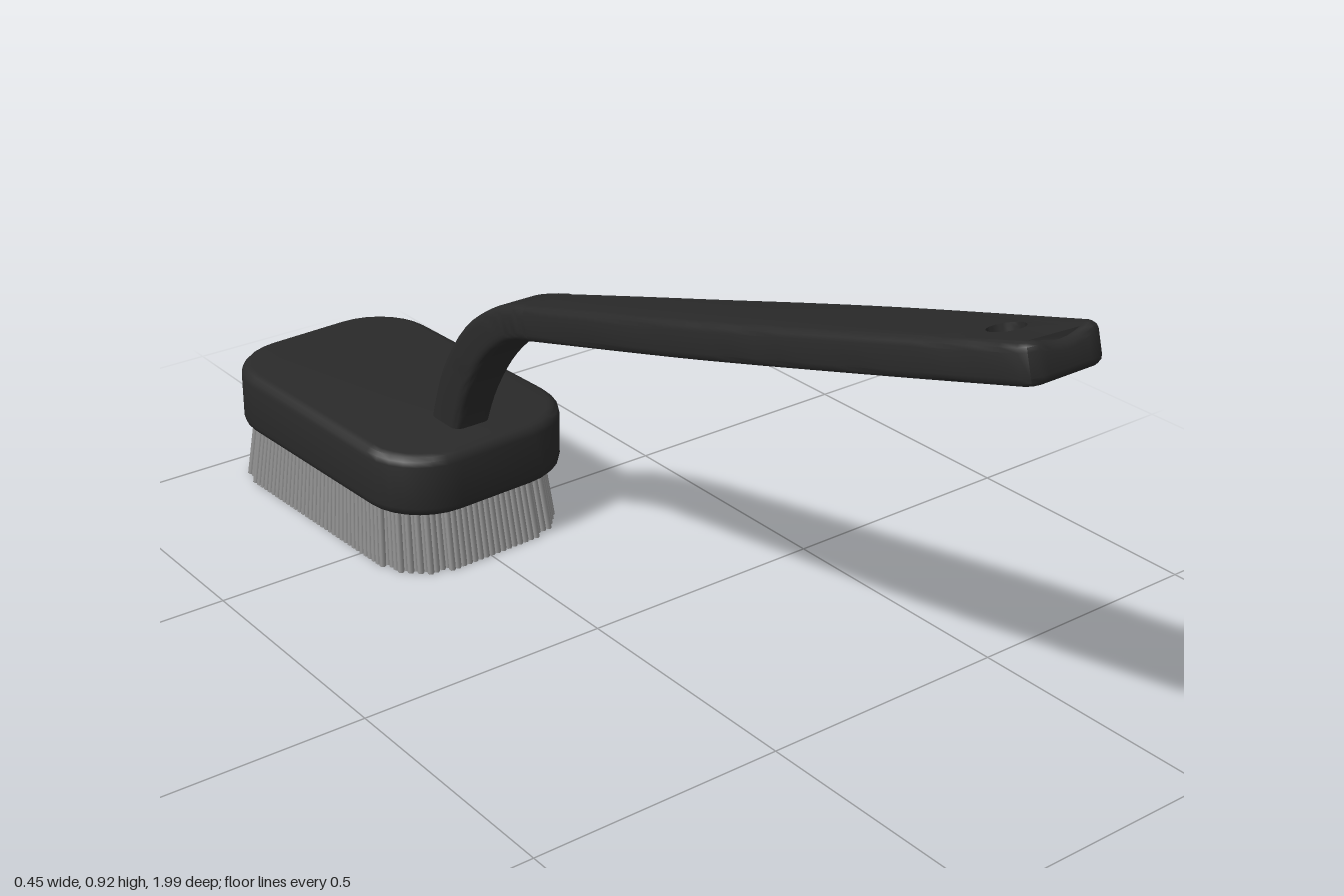
import * as THREE from 'three';
import { mergeGeometries, toCreasedNormals } from 'three/addons/utils/BufferGeometryUtils.js';

const V2 = (x, y) => new THREE.Vector2(x, y);
const V3 = (x, y, z) => new THREE.Vector3(x, y, z);
const TILT = 0.045; // slight turn of the head about the vertical

// Apply fn(vector) to every vertex
function deform(geo, fn) {
  const p = geo.attributes.position, v = V3(0, 0, 0);
  for (let i = 0; i < p.count; i++) {
    fn(v.fromBufferAttribute(p, i));
    p.setXYZ(i, v.x, v.y, v.z);
  }
  return geo;
}

// Outline of a rounded rectangle as points, counter-clockwise
function roundedRect(hw, hh, r, n) {
  const pts = [];
  for (let c = 0; c < 4; c++) {
    const sx = c === 0 || c === 3 ? 1 : -1, sy = c < 2 ? 1 : -1;
    for (let i = 0; i <= n; i++) {
      const a = (c + i / n) * Math.PI / 2;
      pts.push(V2(sx * (hw - r) + r * Math.cos(a), sy * (hh - r) + r * Math.sin(a)));
    }
  }
  return pts;
}

// Extrusion with rounded edges that stays inside its outline, centred in depth
function bevelled(shape, depth, b) {
  const geo = new THREE.ExtrudeGeometry(shape, {
    depth: depth - 2 * b, bevelThickness: b, bevelSize: b, bevelOffset: -b,
    bevelSegments: 3, curveSegments: 16,
  });
  return geo.translate(0, 0, b - depth / 2);
}

function headGeometry() {
  const shape = new THREE.Shape(roundedRect(0.215, 0.33, 0.13, 7));
  const geo = bevelled(shape, 0.127, 0.02).rotateX(Math.PI / 2).rotateY(TILT);
  return toCreasedNormals(geo.translate(0, 0.1875, -0.662), 0.7);
}

// Dense field of thin strands that flares towards the floor
function bristleGeometry() {
  const hw = 0.197, hl = 0.322, r = 0.11, nx = 30, nz = 48, height = 0.135;
  const strands = [];
  for (let i = 0; i < nx; i++) {
    for (let j = 0; j < nz; j++) {
      const x = hw * (2 * i / (nx - 1) - 1), z = hl * (2 * j / (nz - 1) - 1);
      const dx = Math.max(0, Math.abs(x) - hw + r), dz = Math.max(0, Math.abs(z) - hl + r);
      if (Math.hypot(dx, dz) > r + 0.003) continue;
      strands.push(new THREE.CylinderGeometry(0.0064, 0.0064, height, 6).translate(x, height / 2, z));
    }
  }
  const geo = deform(mergeGeometries(strands), v => {
    const k = v.y / height;
    v.x *= 1 - 0.06 * k;
    v.z *= 1 - 0.075 * k;
  });
  return geo.rotateY(TILT).translate(-0.003, 0, -0.668);
}

// Curved neck: rounded cross-sections along a bend
function neckGeometry() {
  // y, z, right edge x, left edge x, thickness
  const stations = [
    [0.2, -0.468, -0.03, 0.05, 0.09], [0.25, -0.455, -0.03, 0.052, 0.088],
    [0.345, -0.42, -0.031, 0.058, 0.086], [0.45, -0.35, -0.032, 0.067, 0.08],
    [0.52, -0.262, -0.033, 0.073, 0.07], [0.543, -0.21, -0.033, 0.079, 0.068],
    [0.554, -0.172, -0.034, 0.0845, 0.0675],
  ];
  const path = new THREE.CatmullRomCurve3(stations.map(s => V3(0, s[0], s[1])));
  const size = new THREE.CatmullRomCurve3(stations.map(s => V3(s[2], s[3], s[4])));
  const steps = 24, pos = [], idx = [];
  let count = 0;
  for (let i = 0; i <= steps; i++) {
    const c = path.getPoint(i / steps), t = path.getTangent(i / steps), w = size.getPoint(i / steps);
    const ring = roundedRect((w.y - w.x) / 2, w.z / 2, 0.018, 4);
    count = ring.length;
    for (const p of ring) pos.push((w.x + w.y) / 2 + p.x, c.y + t.z * p.y, c.z - t.y * p.y);
  }
  for (let i = 0; i < steps; i++) {
    for (let j = 0; j < count; j++) {
      const k = (j + 1) % count;
      const a = i * count + j, b = i * count + k, c = b + count, d = a + count;
      idx.push(a, b, c, a, c, d);
    }
  }
  const geo = new THREE.BufferGeometry();
  geo.setAttribute('position', new THREE.Float32BufferAttribute(pos, 3));
  geo.setIndex(idx);
  return toCreasedNormals(geo, 0.7);
}

// Straight, gently widening grip with a hanging hole and a dipped end
function gripGeometry() {
  const thick = 0.066, end = 1.247, hole = V2(0.08, 1.134), holeR = 0.03;
  const leftSide = new THREE.SplineCurve([V2(0.078, 0), V2(0.1, 0.22), V2(0.118, 0.43),
    V2(0.138, 0.635), V2(0.152, 0.84), V2(0.158, 1.05), V2(0.161, 1.225)]);
  const rightSide = new THREE.SplineCurve([V2(0.006, 1.225), V2(-0.006, 1.05), V2(-0.018, 0.84),
    V2(-0.028, 0.635), V2(-0.033, 0.43), V2(-0.032, 0)]);
  const pts = leftSide.getPoints(18);
  pts.push(V2(0.155, 1.24));
  for (let i = 0; i <= 8; i++) pts.push(V2(0.14 - i * 0.014, end));
  pts.push(V2(0.012, 1.24), ...rightSide.getPoints(18));
  const shape = new THREE.Shape(pts);
  shape.holes.push(new THREE.Path().absarc(hole.x, hole.y, holeR, 0, Math.PI * 2, true));
  const geo = deform(bevelled(shape, thick, 0.014), v => {
    // keep the hole a plain cylinder
    const dx = v.x - hole.x, dy = v.y - hole.y, d = Math.hypot(dx, dy);
    if (d < holeR + 0.018) {
      v.x = hole.x + dx * holeR / d;
      v.y = hole.y + dy * holeR / d;
    }
    // shallow dip in the upper edge of the end
    const u = (v.x - 0.084) / 0.055;
    if (v.y > 1.2 && v.z < 0 && Math.abs(u) < 1) v.z += 0.012 * Math.cos(u * Math.PI / 2);
  });
  const slope = 0.2814;
  geo.rotateX(Math.PI / 2 - slope).translate(0, 0.543, -0.21);
  return toCreasedNormals(geo, 0.7);
}

export function createModel() {
  const plastic = new THREE.MeshStandardMaterial({ color: 0x2a2a2a });
  const fibre = new THREE.MeshStandardMaterial({ color: 0x999999 });
  const model = new THREE.Group();
  model.name = 'scrubBrush';
  const add = (name, geo, mat, parent) => {
    const mesh = new THREE.Mesh(geo, mat);
    mesh.name = name;
    parent.add(mesh);
  };
  add('head', headGeometry(), plastic, model);
  add('bristles', bristleGeometry(), fibre, model);
  const handle = new THREE.Group();
  handle.name = 'handle';
  add('neck', neckGeometry(), plastic, handle);
  add('grip', gripGeometry(), plastic, handle);
  model.add(handle);
  return model;
}
